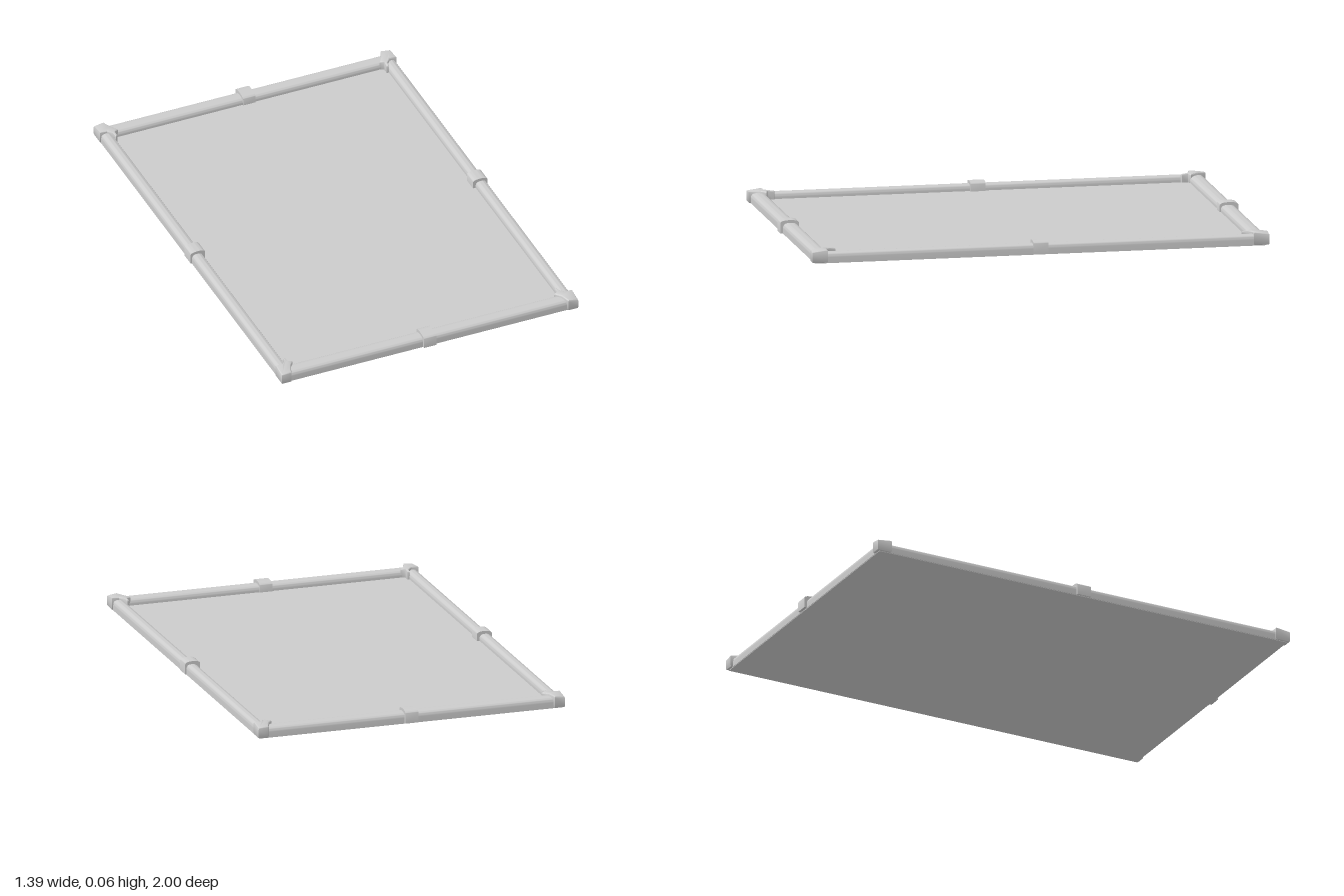
import * as THREE from 'three';
import { toCreasedNormals } from 'three/addons/utils/BufferGeometryUtils.js';

const HX = 0.687, HZ = 0.988; // half size of the frame

// Round-topped bar running along z, centred on x and z
function archBar(width, bottom, top, wall, length) {
  const w = width / 2;
  const s = new THREE.Shape();
  s.moveTo(-w, bottom);
  s.lineTo(w, bottom);
  s.lineTo(w, wall);
  s.bezierCurveTo(w, top - 0.004, w * 0.6, top, 0, top);
  s.bezierCurveTo(-w * 0.6, top, -w, top - 0.004, -w, wall);
  s.closePath();
  const g = new THREE.ExtrudeGeometry(s, { depth: length, bevelEnabled: false, curveSegments: 8 });
  g.translate(0, 0, -length / 2);
  return toCreasedNormals(g, 0.7);
}

// Corner cap: diagonal hood with notched inner ends, its top rising inward
function cornerCap(sx, sz) {
  const outline = [[0, 0], [0.045, 0], [0.06, 0.04], [0.082, 0.072], [0.064, 0.082],
    [0.064, 0.108], [0.054, 0.112], [0.05, 0.088], [0.032, 0.068], [0, 0.068]];
  const ox = 0.692, oz = 0.998;
  const s = new THREE.Shape(outline.map(([u, v]) => new THREE.Vector2(sx * (ox - u), -sz * (oz - v))));
  const g = new THREE.ExtrudeGeometry(s, {
    depth: 0.04, bevelEnabled: true, bevelThickness: 0.007, bevelSize: 0.005, bevelOffset: -0.005, bevelSegments: 3,
  });
  g.rotateX(-Math.PI / 2);
  g.translate(0, 0.01, 0);
  const p = g.attributes.position;
  for (let i = 0; i < p.count; i++) {
    if (p.getY(i) < 0.03) continue;
    const inward = (ox - Math.abs(p.getX(i))) + (oz - Math.abs(p.getZ(i)));
    const lift = inward < 0.06 ? -0.009 * (1 - inward / 0.06) : -0.1 * Math.max(0, inward - 0.13);
    p.setY(i, p.getY(i) + 0.002 + lift);
  }
  return toCreasedNormals(g, 0.7);
}

export function createModel() {
  const model = new THREE.Group();
  const grey = new THREE.MeshStandardMaterial({ color: 0xcccccc });
  const add = (name, geometry, x = 0, y = 0, z = 0, turn = 0) => {
    const mesh = new THREE.Mesh(geometry, grey);
    mesh.name = name;
    mesh.position.set(x, y, z);
    mesh.rotation.y = turn;
    model.add(mesh);
  };

  // Flat panel under the whole frame
  add('panel', new THREE.BoxGeometry(HX * 2 - 0.004, 0.018, HZ * 2 - 0.004), 0, 0.009, 0);

  // Rails and the middle bands that wrap them
  const sideRail = archBar(0.05, 0.002, 0.047, 0.026, HZ * 2 - 0.06);
  const endRail = archBar(0.065, 0.002, 0.048, 0.026, HX * 2 - 0.06);
  const sideBand = archBar(0.068, 0.004, 0.06, 0.046, 0.066);
  const endBand = archBar(0.082, 0.004, 0.06, 0.046, 0.058);
  for (const s of [-1, 1]) {
    const side = s > 0 ? 'left' : 'right', end = s > 0 ? 'front' : 'back';
    add(side + 'Rail', sideRail, s * (HX - 0.025));
    add(side + 'Band', sideBand, s * 0.659);
    add(end + 'Rail', endRail, 0, 0, s * (HZ - 0.0325), Math.PI / 2);
    add(end + 'Band', endBand, 0, 0, s * 0.959, Math.PI / 2);
  }

  // Corner caps
  for (const sx of [-1, 1]) {
    for (const sz of [-1, 1]) {
      add((sz > 0 ? 'front' : 'back') + (sx > 0 ? 'Left' : 'Right') + 'Corner', cornerCap(sx, sz));
    }
  }
  return model;
}
